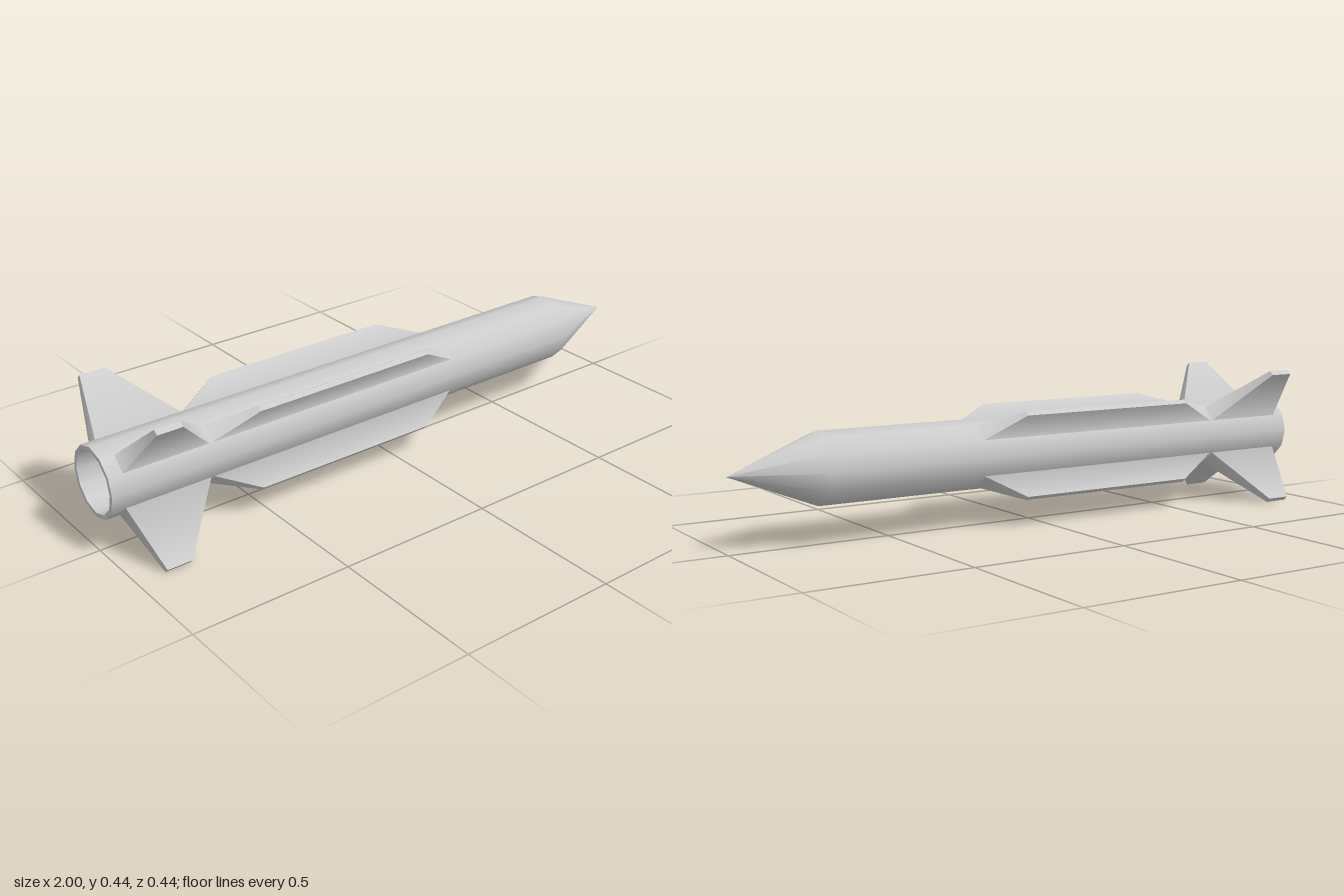
import * as THREE from 'three';
import { toCreasedNormals } from 'three/addons/utils/BufferGeometryUtils.js';

const R = 0.11, SIDES = 12;
const material = new THREE.MeshStandardMaterial({ color: 0xcccccc });

// Twelve-sided part turned about the x axis; points are [x, radius]
function turned(name, points) {
  const profile = points.map(([x, r]) => new THREE.Vector2(r, x));
  const geometry = new THREE.LatheGeometry(profile, SIDES).rotateZ(-Math.PI / 2);
  const mesh = new THREE.Mesh(geometry, material);
  mesh.name = name;
  return mesh;
}

// Tapered blade standing on one facet of the body, pointing along +y.
// root and tip: { x0, x1, r, w } = rear, front, distance from axis, half thickness
function bladeGeometry(root, tip) {
  const positions = [];
  for (const { x0, x1, r, w } of [root, tip]) {
    positions.push(x0, r, w, x1, r, w, x1, r, -w, x0, r, -w);
  }
  const index = [4, 5, 6, 4, 6, 7];
  for (let i = 0; i < 4; i++) {
    const j = (i + 1) % 4;
    index.push(i, j, j + 4, i, j + 4, i + 4);
  }
  let geometry = new THREE.BufferGeometry();
  geometry.setAttribute('position', new THREE.Float32BufferAttribute(positions, 3));
  geometry.setIndex(index);
  geometry = toCreasedNormals(geometry, 0.5);

  // Blend the shading into the body along the root
  const p = geometry.attributes.position, n = geometry.attributes.normal;
  const normal = new THREE.Vector3(), radial = new THREE.Vector3();
  for (let i = 0; i < p.count; i++) {
    if (p.getY(i) > root.r + 0.001) continue;
    normal.fromBufferAttribute(n, i);
    radial.set(0, p.getY(i), p.getZ(i)).normalize();
    normal.add(radial).normalize();
    n.setXYZ(i, normal.x, normal.y, normal.z);
  }
  return geometry;
}

export function createModel() {
  const model = new THREE.Group();
  model.name = 'missile';

  // Hull with pointed nose, flat tail rim and hollow exhaust
  model.add(turned('hull', [[-1, R], [-0.68, R], [0.2, R], [0.725, R], [1, 0]]));
  model.add(turned('tailRim', [[-1, 0.097], [-1, R]]));
  model.add(turned('exhaustWall', [[-0.9, 0.09], [-1, 0.097]]));
  model.add(turned('exhaustFloor', [[-0.9, 0], [-0.9, 0.09]]));

  // Four long wings and four tail fins in an X arrangement
  const rootR = R * Math.cos(Math.PI / SIDES);
  const rootW = R * Math.sin(Math.PI / SIDES);
  const wing = bladeGeometry(
    { x0: -0.67, x1: 0.22, r: rootR, w: rootW },
    { x0: -0.53, x1: 0.09, r: 0.185, w: 0.008 });
  const fin = bladeGeometry(
    { x0: -0.955, x1: -0.68, r: rootR, w: rootW },
    { x0: -0.91, x1: -0.83, r: 0.305, w: 0.009 });
  for (let i = 0; i < 4; i++) {
    for (const [name, geometry] of [['wing', wing], ['tailFin', fin]]) {
      const mesh = new THREE.Mesh(geometry, material);
      mesh.name = name + (i + 1);
      mesh.rotation.x = Math.PI / 4 + i * Math.PI / 2;
      model.add(mesh);
    }
  }

  // Lift so the lower fin tips rest on the ground
  for (const part of model.children) part.position.y = 0.222;
  return model;
}
